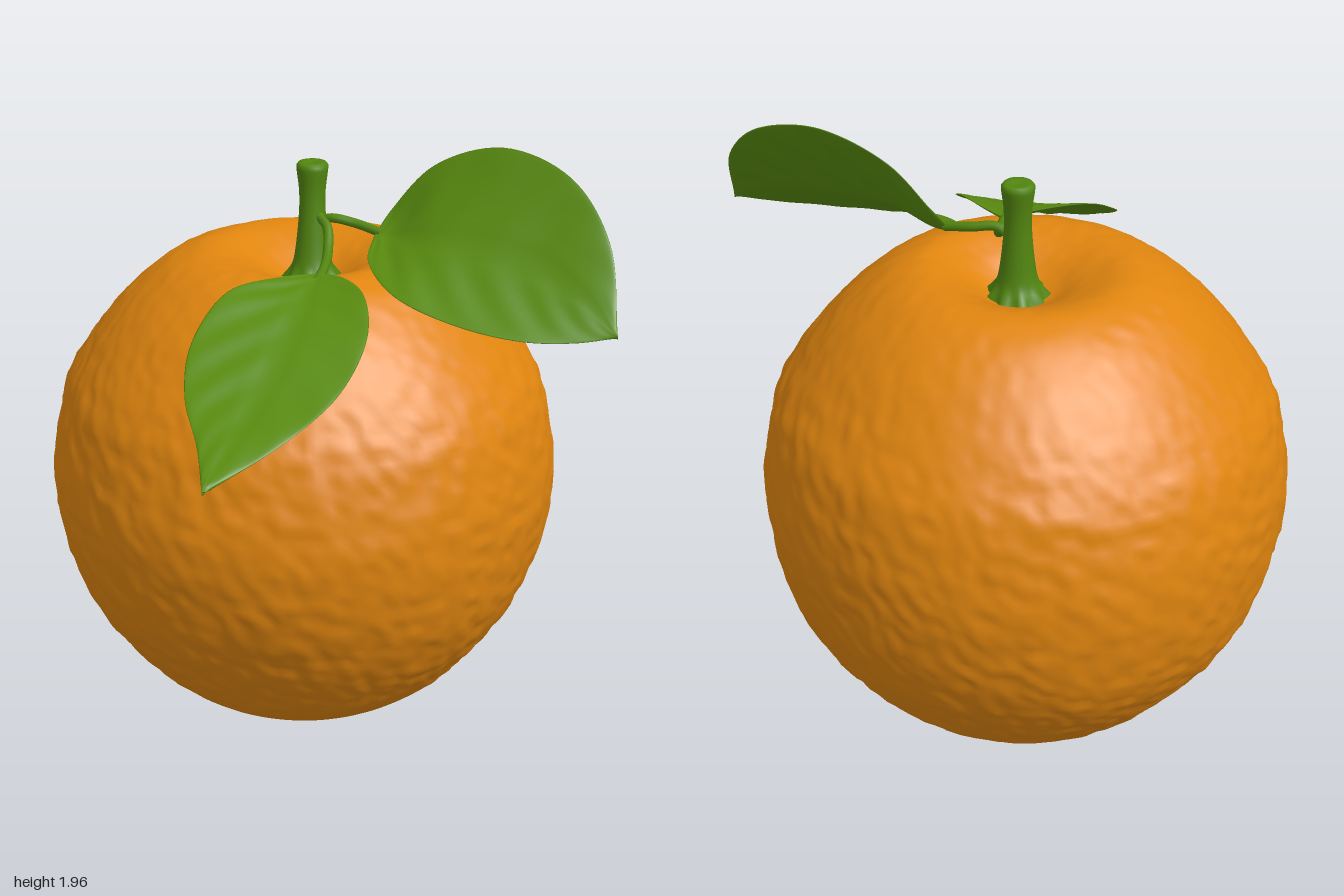
import * as THREE from 'three';
import { mergeVertices } from 'three/addons/utils/BufferGeometryUtils.js';

const V = (x, y, z) => new THREE.Vector3(x, y, z);
const std = (name, color, side = THREE.FrontSide) => {
  const m = new THREE.MeshStandardMaterial({ color, side });
  m.name = name;
  return m;
};
const mesh = (name, geo, mat) => {
  const m = new THREE.Mesh(geo, mat);
  m.name = name;
  return m;
};

// Smooth 3D value noise in 0..1
const hash = (x, y, z) => {
  let h = Math.imul(x, 374761393) ^ Math.imul(y, 668265263) ^ Math.imul(z, 1274126177);
  h = Math.imul(h ^ (h >>> 13), 1103515245);
  return ((h ^ (h >>> 16)) >>> 0) / 4294967295;
};
function noise(x, y, z) {
  const f = [x, y, z].map(Math.floor);
  const [u, v, w] = [x - f[0], y - f[1], z - f[2]].map(t => t * t * (3 - 2 * t));
  let sum = 0;
  for (let i = 0; i < 8; i++) {
    const a = i & 1, b = (i >> 1) & 1, c = i >> 2;
    sum += hash(f[0] + a, f[1] + b, f[2] + c) *
      (a ? u : 1 - u) * (b ? v : 1 - v) * (c ? w : 1 - w);
  }
  return sum;
}

// Revolves a smoothed [radius, height] profile, then moves each vertex by a rule
function lathe(profile, rows, sides, rule) {
  const pts = new THREE.SplineCurve(profile.map(p => new THREE.Vector2(...p))).getSpacedPoints(rows);
  pts.forEach(p => { p.x = Math.max(p.x, 0); });
  let geo = new THREE.LatheGeometry(pts, sides);
  const pos = geo.attributes.position, p = V(0, 0, 0);
  for (let i = 0; i < pos.count; i++) {
    rule(p.fromBufferAttribute(pos, i));
    pos.setXYZ(i, p.x, p.y, p.z);
  }
  geo.deleteAttribute('uv');
  geo.deleteAttribute('normal');
  geo = mergeVertices(geo, 1e-5);
  geo.computeVertexNormals();
  return geo;
}

// Thin closed blade through three guide curves: one edge, midrib, other edge
function leaf(edgeA, mid, edgeB, thickness = 0.009) {
  const curves = [edgeA, mid, edgeB].map(c => new THREE.CatmullRomCurve3(c.map(p => V(...p))));
  const along = 48, ring = 40, verts = [], index = [];
  for (let i = 0; i <= along; i++) {
    const t = i / along;
    const [a, m, b] = curves.map(c => c.getPoint(t));
    const n = b.clone().sub(a).cross(curves[1].getTangent(t)).normalize();
    for (let j = 0; j < ring; j++) {
      const ang = (j / ring) * Math.PI * 2, w = Math.cos(ang);
      const p = a.clone().multiplyScalar(w * (w - 1) / 2)
        .addScaledVector(m, 1 - w * w)
        .addScaledVector(b, w * (w + 1) / 2);
      // side veins and the midrib groove
      const vein = 0.004 * Math.sin(t * 42 - Math.abs(w) * 9) * Math.abs(w) * (1 - w * w) * 2;
      const groove = -0.008 * Math.exp(-w * w * 90);
      const taper = Math.sin(Math.PI * t);
      p.addScaledVector(n, Math.sin(ang) * thickness + (vein + groove) * taper);
      verts.push(p.x, p.y, p.z);
      if (i < along) {
        const k = i * ring, j2 = (j + 1) % ring;
        index.push(k + j, k + ring + j, k + j2, k + ring + j, k + ring + j2, k + j2);
      }
    }
  }
  const geo = new THREE.BufferGeometry();
  geo.setAttribute('position', new THREE.Float32BufferAttribute(verts, 3));
  geo.setIndex(index);
  geo.computeVertexNormals();
  return geo;
}

const stalk = (points, r) =>
  new THREE.TubeGeometry(new THREE.CatmullRomCurve3(points.map(p => V(...p))), 20, r, 10);

export function createModel() {
  const group = new THREE.Group();
  const peel = std('orange peel', 0xe0850f);
  const leafGreen = std('leaf green', 0x598b0f, THREE.DoubleSide);
  const stemGreen = std('stem green', 0x528510);
  const scarGreen = std('dark scar green', 0x5c5a10);

  // Fruit: flattened base, dimpled top, pitted peel
  const fruit = mesh('fruit', lathe([
    [0, 0.03], [0.1, 0.022], [0.2, 0.006], [0.3, 0.006], [0.4, 0.04], [0.5, 0.11], [0.6, 0.21],
    [0.73, 0.4], [0.805, 0.6], [0.832, 0.85], [0.795, 1.08], [0.74, 1.21], [0.6, 1.4],
    [0.47, 1.515], [0.37, 1.565], [0.29, 1.572], [0.19, 1.535], [0.09, 1.475], [0, 1.455],
  ], 130, 240, p => {
    const calm = THREE.MathUtils.smoothstep(p.y, 0.03, 0.25) *
      (1 - 0.65 * THREE.MathUtils.smoothstep(p.y, 1.1, 1.5));
    const fine = noise(p.x * 26 + 90, p.y * 26, p.z * 26 + 90) - 0.5;
    const broad = noise(p.x * 2.5 + 20, p.y * 2.5, p.z * 2.5 + 20) - 0.5;
    const r = Math.hypot(p.x, p.z);
    const dir = V(p.x, p.y - 0.8, p.z).normalize();
    p.addScaledVector(dir, (0.013 * fine + 0.02 * broad) * calm);
    if (p.y > 1) p.x += 0.03 * Math.max(0, 1 - r / 0.35); // dimple sits under the stem
  }), peel);
  fruit.position.set(-0.117, 0, -0.163);
  group.add(fruit);

  // Blossom scar underneath
  const scar = mesh('blossomScar', new THREE.CircleGeometry(0.085, 24), scarGreen);
  scar.rotation.x = Math.PI / 2;
  scar.position.set(-0.117, 0.016, -0.163);
  group.add(scar);

  // Stem with a ragged flared foot
  const stem = mesh('stem', lathe([
    [0.1, 1.465], [0.085, 1.49], [0.064, 1.53], [0.052, 1.6], [0.043, 1.7], [0.043, 1.77],
    [0.051, 1.84], [0.048, 1.857], [0.03, 1.86], [0, 1.855],
  ], 40, 36, p => {
    const foot = 1 - THREE.MathUtils.smoothstep(p.y, 1.465, 1.54);
    const s = 1 + 0.13 * foot * Math.sin(Math.atan2(p.z, p.x) * 9);
    p.x *= s;
    p.z *= s;
    p.x -= 0.01 * (p.y - 1.5);
    p.z -= 0.05 * (p.y - 1.5);
  }), stemGreen);
  stem.position.set(-0.087, 0, -0.162);
  group.add(stem);

  // Leaf stalks
  group.add(mesh('sideLeafStalk', stalk(
    [[-0.08, 1.66, -0.165], [-0.02, 1.69, -0.14], [0.06, 1.68, -0.135], [0.15, 1.662, -0.11]], 0.015), stemGreen));
  group.add(mesh('frontLeafStalk', stalk(
    [[-0.08, 1.7, -0.165], [-0.03, 1.67, -0.12], [-0.005, 1.615, -0.03], [0.005, 1.59, 0.07], [0.005, 1.58, 0.17]], 0.016), stemGreen));

  // Leaf drooping over the front
  const frontBase = [0.01, 1.59, 0.12], frontTip = [-0.13, 1.22, 1.0];
  group.add(mesh('frontLeaf', leaf(
    [frontBase, [0.09, 1.6, 0.17], [0.175, 1.585, 0.27], [0.22, 1.51, 0.42], [0.18, 1.4, 0.62], [0.06, 1.31, 0.8], frontTip],
    [frontBase, [0.0, 1.575, 0.19], [-0.01, 1.535, 0.32], [-0.03, 1.455, 0.49], [-0.06, 1.36, 0.67], [-0.095, 1.285, 0.85], frontTip],
    [frontBase, [-0.1, 1.595, 0.19], [-0.24, 1.575, 0.3], [-0.305, 1.47, 0.49], [-0.275, 1.37, 0.67], [-0.19, 1.29, 0.84], frontTip],
  ), leafGreen));

  // Leaf raised to the side, cupped toward the front
  const sideBase = [0.13, 1.655, -0.11], sideTip = [0.945, 1.515, 0.28];
  group.add(mesh('sideLeaf', leaf(
    [sideBase, [0.18, 1.735, -0.155], [0.31, 1.88, -0.16], [0.53, 1.96, -0.12], [0.75, 1.905, -0.03], [0.89, 1.75, 0.1], sideTip],
    [sideBase, [0.19, 1.655, -0.08], [0.33, 1.68, 0.0], [0.51, 1.68, 0.06], [0.69, 1.655, 0.12], [0.83, 1.6, 0.2], sideTip],
    [sideBase, [0.135, 1.61, 0.02], [0.25, 1.555, 0.18], [0.45, 1.51, 0.27], [0.66, 1.49, 0.31], [0.82, 1.495, 0.3], sideTip],
  ), leafGreen));

  return group;
}
